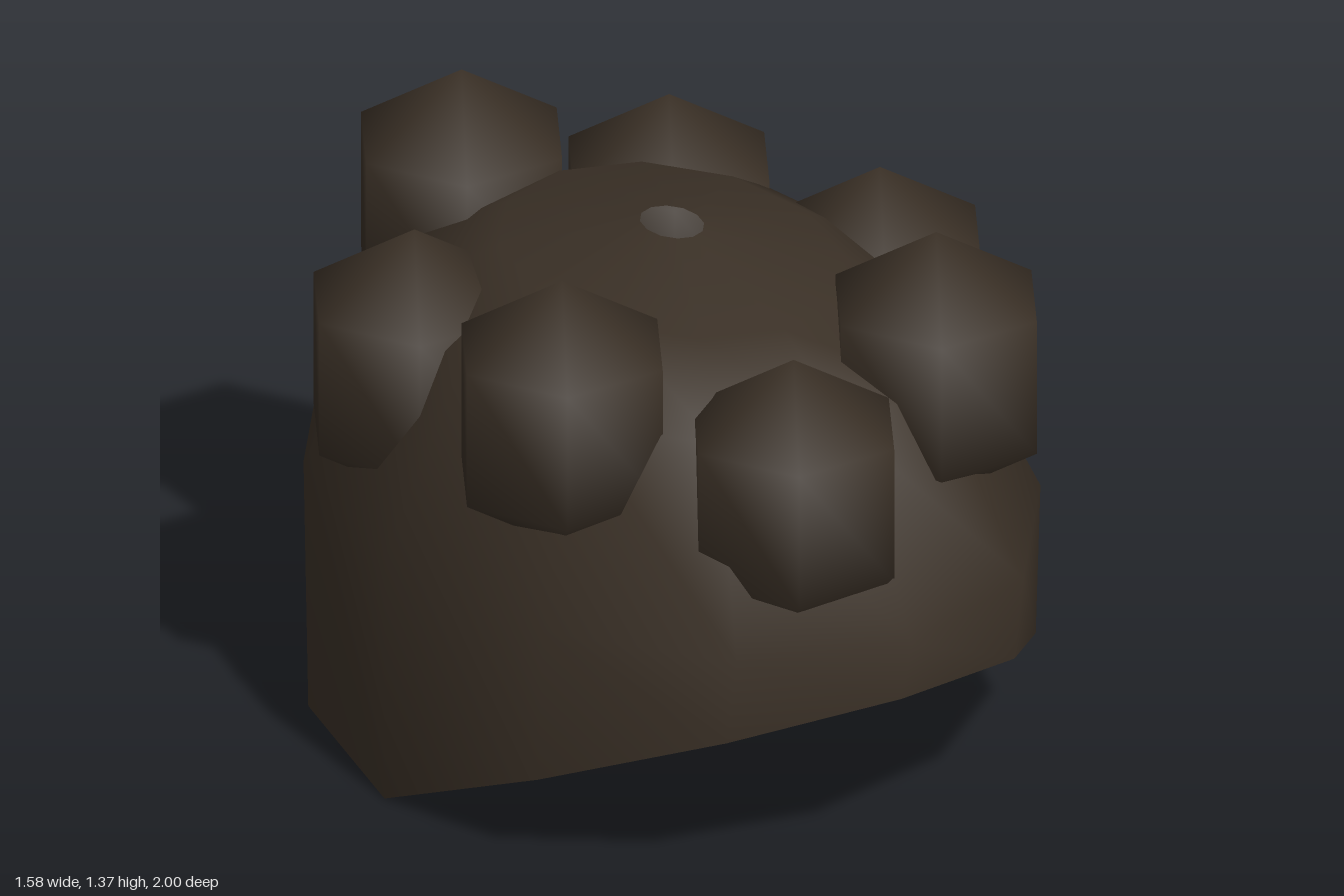
import * as THREE from 'three';

export function createModel() {
  const model = new THREE.Group();
  model.name = 'curlyHair';
  const hair = new THREE.MeshStandardMaterial({ color: 0x3a3026, side: THREE.DoubleSide });
  hair.name = 'dark brown hair';

  // Open cap: dome rings over a skirt, with a small hole at the crown
  const profile = [new THREE.Vector2(1, 0)];
  for (const deg of [0, 42, 62, 85]) {
    const a = THREE.MathUtils.degToRad(deg);
    profile.push(new THREE.Vector2(Math.cos(a), 0.61 + 0.64 * Math.sin(a)));
  }
  const capGeometry = new THREE.LatheGeometry(profile, 12);
  const p = capGeometry.attributes.position;
  for (let i = 0; i < p.count; i++) {
    const x = p.getX(i), y = p.getY(i), z = p.getZ(i);
    // The lower rim is drawn in at front and back and raised over the forehead
    if (y < 0.1) p.setXYZ(i, x * 0.772, 0.45 * Math.max(0, z), z * 0.955);
    else p.setXYZ(i, x * 0.77, y, z);
  }
  // Normals from the profile rule keep the seam smooth
  const n = capGeometry.attributes.normal;
  for (let i = 0; i < n.count; i++) {
    const v = new THREE.Vector3(n.getX(i) / 0.77, n.getY(i), n.getZ(i)).normalize();
    n.setXYZ(i, v.x, v.y, v.z);
  }
  const cap = new THREE.Mesh(capGeometry, hair);
  cap.name = 'hairCap';
  cap.position.x = -0.02;
  model.add(cap);

  // Seven low-poly curls around the crown
  const curlGeometry = new THREE.SphereGeometry(0.335, 6, 3).scale(0.88, 1, 0.88);
  const curls = [
    [-0.515, 1.035, 0.31], [0.325, 1.035, 0.565], [-0.14, 1.035, -0.69],
    [-0.145, 0.9, 0.7], [0.535, 0.9, 0.005], [0.33, 0.9, -0.555], [-0.515, 0.9, -0.305],
  ];
  curls.forEach((position, i) => {
    const curl = new THREE.Mesh(curlGeometry, hair);
    curl.name = 'curl' + (i + 1);
    curl.position.set(...position);
    model.add(curl);
  });
  return model;
}
